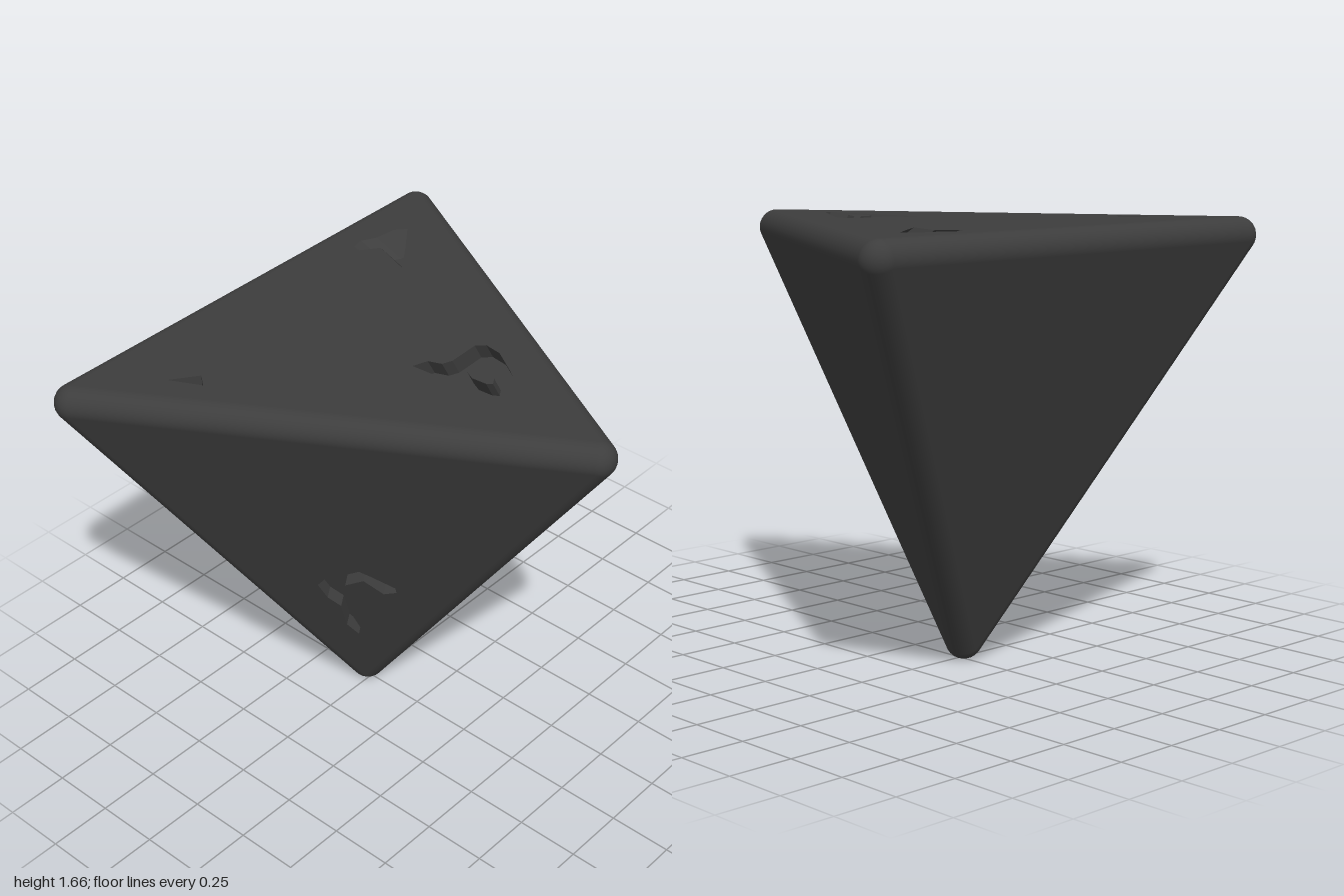
import * as THREE from 'three';

const V3 = (x, y, z) => new THREE.Vector3(x, y, z);
const R = 0.07; // rounding radius of edges and corners

// Corner centres of the tetrahedron, tip pointing down
const ring = 1.074, yaw = 0.013, midZ = -0.27;
const corners = [0, 1, 2].map(i => {
  const a = yaw + (i * Math.PI * 2) / 3;
  return V3(ring * Math.sin(a), 1.59, midZ + ring * Math.cos(a));
});
corners.push(V3(0, R, midZ));
const centre = corners.reduce((s, c) => s.add(c), V3(0, 0, 0)).divideScalar(4);

// Outward normal of the face opposite each corner
const normals = corners.map((c, i) => {
  const [a, b, d] = corners.filter((_, j) => j !== i);
  const n = b.clone().sub(a).cross(d.clone().sub(a)).normalize();
  return n.dot(a.clone().sub(centre)) < 0 ? n.negate() : n;
});

// Smooth grid patch from fn(u, v) => [point, normal]
function patch(fn, nu, nv) {
  const pos = [], nor = [], idx = [];
  for (let j = 0; j <= nv; j++) for (let i = 0; i <= nu; i++) {
    const [p, n] = fn(i / nu, j / nv);
    pos.push(p.x, p.y, p.z);
    nor.push(n.x, n.y, n.z);
  }
  const o = fn(0, 0)[0];
  const du = fn(1, 0)[0].clone().sub(o), dv = fn(0, 1)[0].clone().sub(o);
  const flip = du.cross(dv).dot(fn(0.5, 0.5)[1]) < 0;
  for (let j = 0; j < nv; j++) for (let i = 0; i < nu; i++) {
    const a = j * (nu + 1) + i, b = a + 1, c = a + nu + 1, d = c + 1;
    idx.push(...(flip ? [a, d, b, a, c, d] : [a, b, d, a, d, c]));
  }
  const g = new THREE.BufferGeometry();
  g.setAttribute('position', new THREE.Float32BufferAttribute(pos, 3));
  g.setAttribute('normal', new THREE.Float32BufferAttribute(nor, 3));
  g.setIndex(idx);
  return g;
}

// Flat-sided walls from a rim down to a shifted floor outline
function walls(rim, floor, depth) {
  const pos = [];
  rim.forEach((a, i) => {
    const k = (i + 1) % rim.length, b = rim[k], c = floor[k], d = floor[i];
    pos.push(a.x, a.y, 0, b.x, b.y, 0, c.x, c.y, -depth);
    pos.push(a.x, a.y, 0, c.x, c.y, -depth, d.x, d.y, -depth);
  });
  const g = new THREE.BufferGeometry();
  g.setAttribute('position', new THREE.Float32BufferAttribute(pos, 3));
  g.computeVertexNormals();
  return g;
}

// Engraved notches: top ones given as (x, z), the side one as (x, y)
const notches = [
  { face: 3, depth: 0.07, shift: [0.04, 0],
    rim: [[-0.05, 0.02], [0.01, 0.04], [0.03, 0.09], [0.07, 0.105], [0.2, 0.1], [0.23, 0.13], [0.22, 0.2],
      [0.15, 0.31], [0.015, 0.5], [-0.012, 0.5]],
    island: [[0.03, 0.23], [0.05, 0.19], [0.11, 0.185], [0.12, 0.21], [0.08, 0.29], [0.05, 0.31], [0.035, 0.29]] },
  { face: 3, depth: 0.07, shift: [0.03, 0.1],
    rim: [[0.43, -0.68], [0.44, -0.715], [0.49, -0.725], [0.55, -0.695], [0.64, -0.685], [0.68, -0.65],
      [0.56, -0.555], [0.44, -0.465], [0.5, -0.63]] },
  { face: 3, depth: 0.04, shift: [0, 0], rim: [[-0.69, -0.57], [-0.59, -0.5], [-0.63, -0.45]] },
  { face: 1, depth: 0.05, shift: [0, 0],
    rim: [[-0.27, 0.81], [-0.31, 0.77], [-0.315, 0.68], [-0.275, 0.6], [-0.235, 0.55], [-0.19, 0.42], [-0.15, 0.36],
      [-0.16, 0.41], [-0.215, 0.53], [-0.23, 0.58], [-0.25, 0.64], [-0.265, 0.7], [-0.24, 0.745], [-0.18, 0.67],
      [-0.16, 0.69], [-0.17, 0.72], [-0.24, 0.785]] },
];

export function createModel() {
  const group = new THREE.Group();
  const charcoal = new THREE.MeshStandardMaterial({ color: 0x3d3d3d });
  charcoal.name = 'charcoal';
  const add = (parent, name, geometry) => {
    const m = new THREE.Mesh(geometry, charcoal);
    m.name = name;
    parent.add(m);
  };

  // Flat faces with their engraved notches
  normals.forEach((n, f) => {
    const [a, b, c] = corners.filter((_, j) => j !== f).map(p => p.clone().addScaledVector(n, R));
    const u = b.clone().sub(a).normalize(), v = n.clone().cross(u);
    const face = new THREE.Group();
    face.name = ['backFace', 'rightFace', 'leftFace', 'topFace'][f];
    face.applyMatrix4(new THREE.Matrix4().makeBasis(u, v, n).setPosition(a));
    group.add(face);

    const local = p => {
      const d = p.clone().sub(a);
      return new THREE.Vector2(d.dot(u), d.dot(v));
    };
    // Drop a point along its missing axis onto this face
    const onFace = ([s, t]) => {
      const p = f === 3 ? V3(s, a.y, t) : V3(s, t, 0);
      if (f !== 3) p.z = (n.dot(a) - n.x * s - n.y * t) / n.z;
      return local(p);
    };
    const ordered = (pts, ccw) => (THREE.ShapeUtils.isClockWise(pts) === ccw ? pts.reverse() : pts);
    const outline = new THREE.Shape([a, b, c].map(local));

    notches.filter(q => q.face === f).forEach(({ rim, island, depth, shift }) => {
      const move = V3(shift[0], 0, shift[1]);
      const offset = new THREE.Vector2(move.dot(u), move.dot(v));
      const lower = pts => pts.map(p => p.clone().add(offset));
      const top = ordered(rim.map(onFace), true);
      outline.holes.push(new THREE.Path(top));
      const base = new THREE.Shape(lower(top));
      add(face, 'notchWalls', walls(top, lower(top), depth));
      if (island) {
        const cap = ordered(island.map(onFace), false);
        base.holes.push(new THREE.Path(lower(cap)));
        add(face, 'islandWalls', walls(cap, lower(cap), depth));
        add(face, 'islandCap', new THREE.ShapeGeometry(new THREE.Shape(cap)));
      }
      add(face, 'notchFloor', new THREE.ShapeGeometry(base).translate(0, 0, -depth));
    });
    add(face, 'facePlate', new THREE.ShapeGeometry(outline));
  });

  // Rounded edges between each pair of faces
  for (let i = 0; i < 4; i++) for (let j = i + 1; j < 4; j++) {
    const [k, l] = [0, 1, 2, 3].filter(q => q !== i && q !== j);
    add(group, 'roundedEdge', patch((s, t) => {
      const n = normals[k].clone().lerp(normals[l], s).normalize();
      return [corners[i].clone().lerp(corners[j], t).addScaledVector(n, R), n];
    }, 12, 1));
  }

  // Rounded corners
  corners.forEach((p, i) => {
    const [a, b, c] = normals.filter((_, j) => j !== i);
    add(group, 'roundedCorner', patch((s, t) => {
      const n = a.clone().lerp(b, s).lerp(c, t).normalize();
      return [p.clone().addScaledVector(n, R), n];
    }, 12, 12));
  });
  return group;
}
